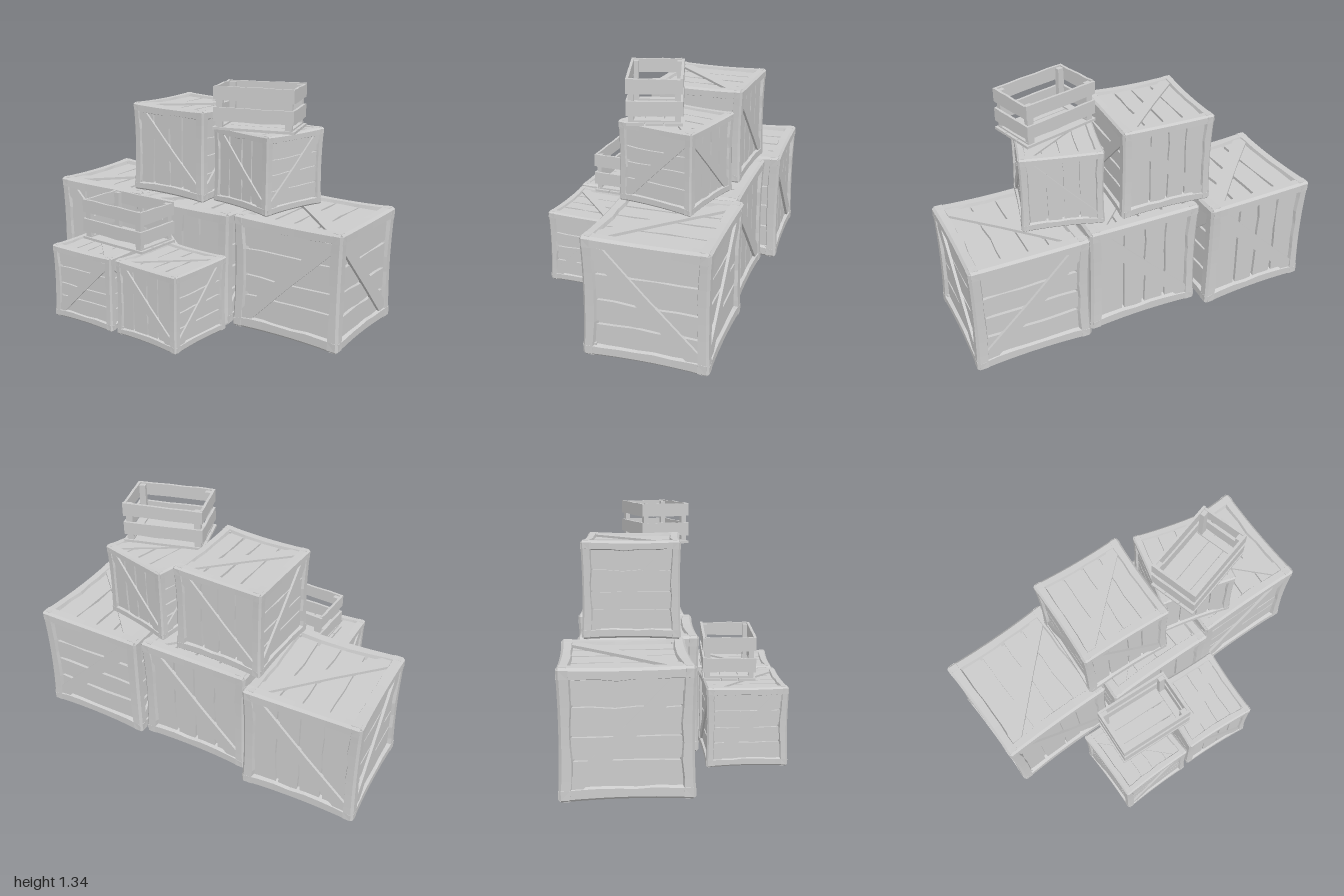
import * as THREE from 'three';

const wood = new THREE.MeshStandardMaterial({ color: 0xcccccc, flatShading: true });

// small seeded generator, returns -1..1
let seed = 7;
const rnd = () => {
  seed = (seed * 16807) % 2147483647;
  return (seed / 2147483647) * 2 - 1;
};

function mesh(name, geometry, parent, x = 0, y = 0, z = 0) {
  const m = new THREE.Mesh(geometry, wood);
  m.name = name;
  m.position.set(x, y, z);
  parent.add(m);
  return m;
}

function extrude(points, depth, steps = 1) {
  const shape = new THREE.Shape(points.map(([x, y]) => new THREE.Vector2(x, y)));
  return new THREE.ExtrudeGeometry(shape, { depth, steps, bevelEnabled: false });
}

// upright board with hand-cut long edges, centred in x and y, thickness from z = 0
function board(w, h, depth, wobble) {
  const right = [], left = [];
  const n = 5;
  for (let i = 0; i <= n; i++) {
    const y = -h / 2 + (h * i) / n;
    right.push([w / 2 + rnd() * wobble, y]);
    left.unshift([-w / 2 + rnd() * wobble, y]);
  }
  return extrude([...right, ...left], depth);
}

// chamfered edge beam along z, bowed inwards in the middle, with an uneven inner lip
function beam() {
  const profile = [[0.48, 0.5], [0.415, 0.5], [0.395, 0.44], [0.395, 0.395],
    [0.44, 0.395], [0.5, 0.415], [0.5, 0.48]];
  const steps = 7;
  const g = extrude(profile, 0.96, steps);
  g.translate(0, 0, -0.48);
  const wobble = Array.from({ length: steps + 1 }, () => [rnd() * 0.009, rnd() * 0.009]);
  const p = g.attributes.position;
  for (let i = 0; i < p.count; i++) {
    const t = p.getZ(i) / 0.48;
    const [a, b] = wobble[Math.round(((t + 1) / 2) * steps)];
    const bow = 0.012 * (1 - t * t);
    const x = p.getX(i), y = p.getY(i);
    p.setXY(i, x - bow + (x < 0.45 ? a : 0), y - bow + (y < 0.45 ? b : 0));
  }
  g.computeVertexNormals();
  return g;
}

// one panel facing +z: four boards and a diagonal brace
function panel(name, flip) {
  const g = new THREE.Group();
  g.name = name;
  const cuts = [-0.42, -0.2 + rnd() * 0.03, rnd() * 0.03, 0.2 + rnd() * 0.03, 0.42];
  for (let i = 0; i < 4; i++) {
    const w = cuts[i + 1] - cuts[i];
    mesh('panelBoard', board(w - 0.024, 0.83, 0.028, 0.008), g, (cuts[i] + cuts[i + 1]) / 2, 0, 0.434);
  }
  const h = 0.41, c = h - 0.085, s = flip ? -1 : 1;
  const pts = [[-h, h], [-h, c], [-0.07, -0.01], [c, -h], [h, -h], [h, -c], [0.07, 0.005], [-c, h]];
  mesh('diagonalBrace', extrude(pts.map(([x, y]) => [x * s, y]), 0.03), g, 0, 0, 0.455);
  return g;
}

// closed crate, one unit wide, centred on the origin
function crate() {
  const g = new THREE.Group();
  mesh('core', new THREE.BoxGeometry(0.87, 0.87, 0.87), g);

  // four beams along each of the three axes
  const axes = [[0, 0], [0, Math.PI / 2], [Math.PI / 2, 0]];
  for (const [rx, ry] of axes) {
    for (let k = 0; k < 4; k++) {
      const set = new THREE.Group();
      set.name = 'frameEdge';
      set.rotation.set(rx, ry, 0);
      mesh('frameBeam', beam(), set).rotation.z = (k * Math.PI) / 2;
      g.add(set);
    }
  }

  // panels: [name, rotation x, rotation y, turn in plane, mirrored brace]
  const q = Math.PI / 2;
  const faces = [
    ['frontPanel', 0, 0, 0, false], ['backPanel', 0, 2 * q, 0, false],
    ['leftPanel', 0, q, q, false], ['rightPanel', 0, -q, q, false],
    ['topPanel', -q, 0, 0, true], ['bottomPanel', q, 0, 0, false],
  ];
  for (const [name, rx, ry, rz, flip] of faces) {
    const f = panel(name, flip);
    f.rotation.set(rx, ry, rz);
    g.add(f);
  }
  return g;
}

// open slatted box standing on y = 0
function slatBox() {
  const g = new THREE.Group();
  const L = 0.44, W = 0.28, T = 0.014;

  // floor boards and the battens that join them
  for (const z of [-0.094, 0, 0.094]) {
    const b = mesh('floorBoard', board(0.088, 0.45, 0.014, 0.002), g, 0, 0.004, z);
    b.rotation.set(-Math.PI / 2, 0, Math.PI / 2);
  }
  for (const x of [-0.19, 0.19]) {
    mesh('floorBatten', new THREE.BoxGeometry(0.04, 0.012, 0.25), g, x, 0.021, 0);
    for (const z of [-0.115, 0.115]) {
      mesh('cornerPost', new THREE.BoxGeometry(0.036, 0.215, 0.028), g, x, 0.122, z);
    }
  }

  // two rows of slats around the walls
  for (const y of [0.088, 0.2]) {
    for (const s of [-1, 1]) {
      const long = mesh('sideSlat', board(0.073, L, T, 0.003), g, 0, y, s * (W / 2 - T / 2) - T / 2);
      long.rotation.z = Math.PI / 2;
      const end = mesh('endSlat', board(0.073, W - 2 * T, T, 0.003), g, s * (L / 2 - T / 2) - T / 2, y, 0);
      end.rotation.set(0, Math.PI / 2, Math.PI / 2);
    }
  }
  return g;
}

export function createModel() {
  const model = new THREE.Group();
  model.name = 'crateStack';
  const source = crate();

  // [name, size, x, base y, z, turn, rolled on its side]
  const crates = [
    ['largeCrateRight', 0.653, -0.665, 0, -0.26, 0.03, false],
    ['largeCrateMiddle', 0.653, 0.005, 0, -0.187, 0, false],
    ['largeCrateLeft', 0.653, 0.67, 0, -0.22, 0, true],
    ['mediumCrate', 0.52, -0.145, 0.657, -0.215, -0.04, false],
    ['turnedCrate', 0.435, 0.377, 0.657, -0.187, -0.25, false],
    ['smallCrateRight', 0.43, -0.348, 0, 0.37, 0.02, true],
    ['smallCrateLeft', 0.43, 0.122, 0, 0.37, -0.06, false],
  ];
  for (const [name, size, x, y, z, turn, rolled] of crates) {
    const c = source.clone();
    c.name = name;
    c.scale.setScalar(size);
    c.position.set(x, y + size / 2, z);
    c.rotation.set(0, turn, rolled ? -Math.PI / 2 : 0);
    model.add(c);
  }

  const box = slatBox();
  const boxes = [
    ['lowerSlatBox', -0.237, 0.435, 0.298, -0.045],
    ['upperSlatBox', 0.385, 1.097, -0.08, 0.28],
  ];
  for (const [name, x, y, z, turn] of boxes) {
    const b = box.clone();
    b.name = name;
    b.position.set(x, y, z);
    b.rotation.y = turn;
    model.add(b);
  }
  return model;
}
